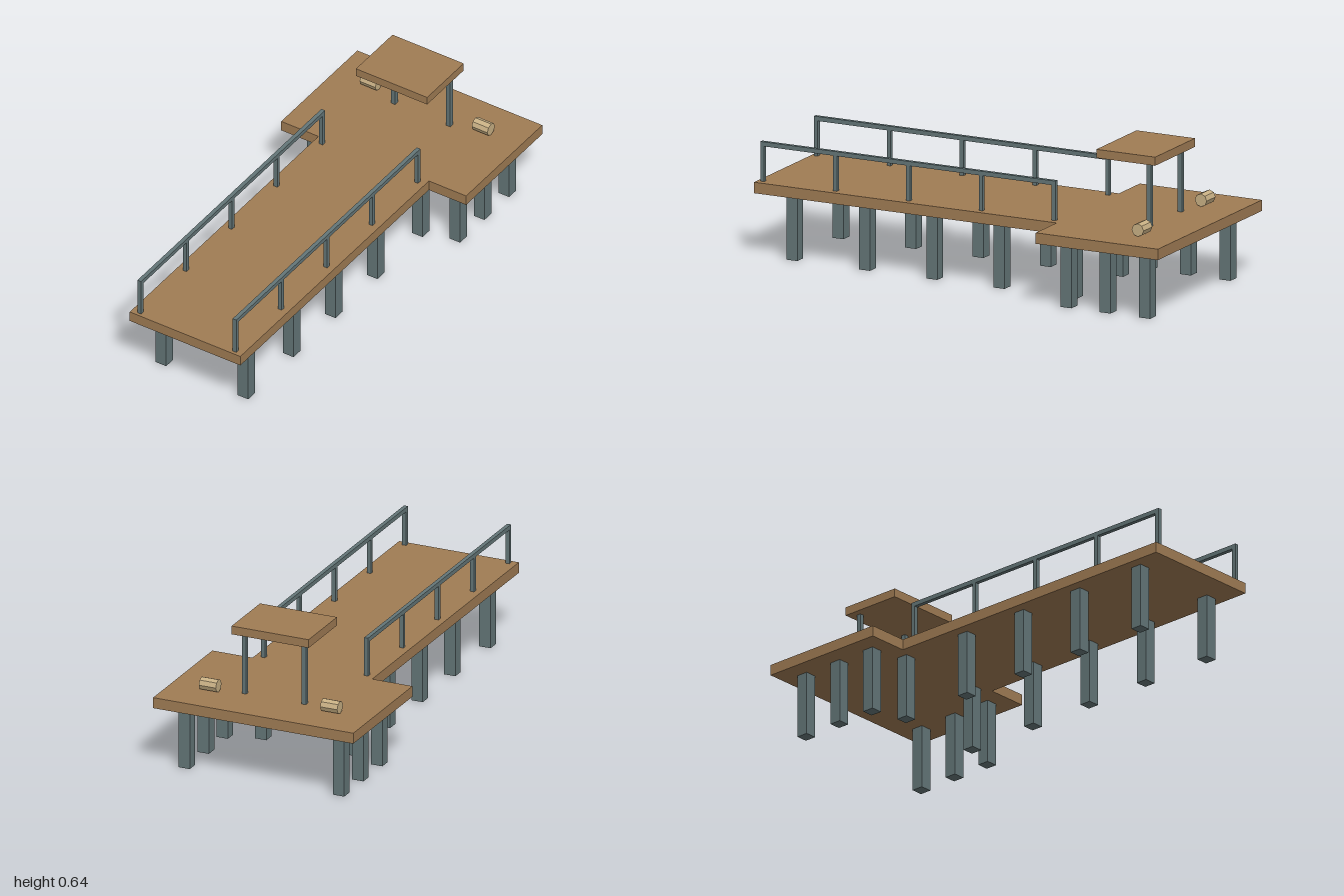
import * as THREE from 'three';

const wood = new THREE.MeshStandardMaterial({ color: 0xa07c54 });
const slate = new THREE.MeshStandardMaterial({ color: 0x647678 });
const timber = new THREE.MeshStandardMaterial({ color: 0xc8b084, flatShading: true });

const DECK_BOTTOM = 0.28;
const DECK_TOP = 0.327;

export function createModel() {
  const model = new THREE.Group();
  model.name = 'pier';

  // Box given by its centre in x and z and its bottom and top heights
  function box(name, material, x, z, bottom, top, width, depth) {
    const mesh = new THREE.Mesh(new THREE.BoxGeometry(width, top - bottom, depth), material);
    mesh.position.set(x, (bottom + top) / 2, z);
    mesh.name = name;
    model.add(mesh);
  }

  // T-shaped deck: narrow walkway opening onto a wide platform at the back
  const outline = [
    [-0.275, -1], [0.275, -1], [0.275, 0.425], [0.46, 0.425],
    [0.46, 1], [-0.46, 1], [-0.46, 0.425], [-0.275, 0.425],
  ].map(([x, y]) => new THREE.Vector2(x, y));
  const deckGeometry = new THREE.ExtrudeGeometry(new THREE.Shape(outline), {
    depth: DECK_TOP - DECK_BOTTOM, bevelEnabled: false,
  });
  deckGeometry.rotateX(-Math.PI / 2);
  const deck = new THREE.Mesh(deckGeometry, wood);
  deck.position.y = DECK_BOTTOM;
  deck.name = 'deck';
  model.add(deck);

  for (const side of [-1, 1]) {
    // Piles under the walkway and the platform
    for (const z of [0.846, 0.504, 0.187, -0.13, -0.471])
      box('walkwayPile', slate, side * 0.204, z, 0, DECK_BOTTOM, 0.052, 0.052);
    for (const z of [-0.525, -0.709, -0.895])
      box('platformPile', slate, side * 0.355, z, 0, DECK_BOTTOM, 0.052, 0.052);

    // Railing: five posts and a top rail
    for (let i = 0; i < 5; i++)
      box('railingPost', slate, side * 0.237, 0.977 - i * 0.343, DECK_TOP, 0.487, 0.018, 0.018);
    box('handrail', slate, side * 0.237, 0.291, 0.478, 0.497, 0.018, 1.39);

    // Shelter support
    box('shelterPost', slate, side * 0.137, -0.79, DECK_TOP, 0.6, 0.02, 0.02);

    // Octagonal mooring log lying on the platform
    const logGeometry = new THREE.CylinderGeometry(0.028, 0.028, 0.078, 8);
    logGeometry.rotateZ(Math.PI / 2);
    const log = new THREE.Mesh(logGeometry, timber);
    log.position.set(side * 0.279, DECK_TOP + 0.028, -0.829);
    log.name = 'mooringLog';
    model.add(log);
  }

  // Shelter roof
  box('shelterRoof', wood, 0, -0.698, 0.6, 0.637, 0.354, 0.276);

  return model;
}
